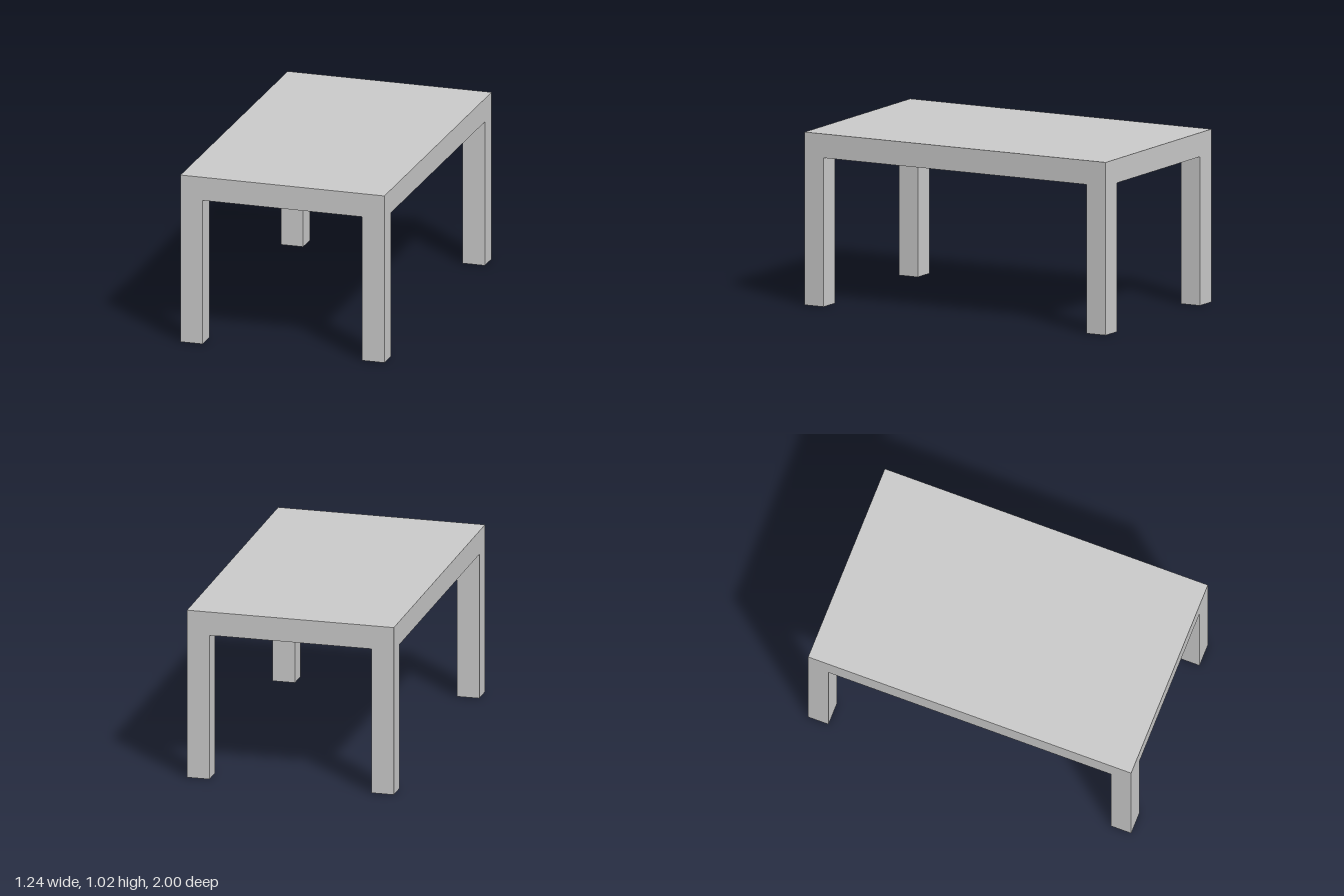
import * as THREE from 'three';

const WIDTH = 1.24, DEPTH = 2, HEIGHT = 1.016, UNDERSIDE = 0.875;
const LEG_X = 0.135, LEG_Z = 0.126;

export function createModel() {
  const table = new THREE.Group();
  table.name = 'table';
  const material = new THREE.MeshStandardMaterial({ color: 0xcccccc, flatShading: true });

  // Box standing on height y
  const addBox = (name, w, h, d, x, y, z) => {
    const mesh = new THREE.Mesh(new THREE.BoxGeometry(w, h, d), material);
    mesh.name = name;
    mesh.position.set(x, y + h / 2, z);
    table.add(mesh);
  };

  // Thick slab top
  addBox('tableTop', WIDTH, HEIGHT - UNDERSIDE, DEPTH, 0, UNDERSIDE, 0);

  // Four legs, flush with the corners
  for (const [side, sx] of [['Left', 1], ['Right', -1]]) {
    for (const [end, sz] of [['front', 1], ['back', -1]]) {
      addBox(`${end}${side}Leg`, LEG_X, UNDERSIDE, LEG_Z,
        sx * (WIDTH - LEG_X) / 2, 0, sz * (DEPTH - LEG_Z) / 2);
    }
  }
  return table;
}
